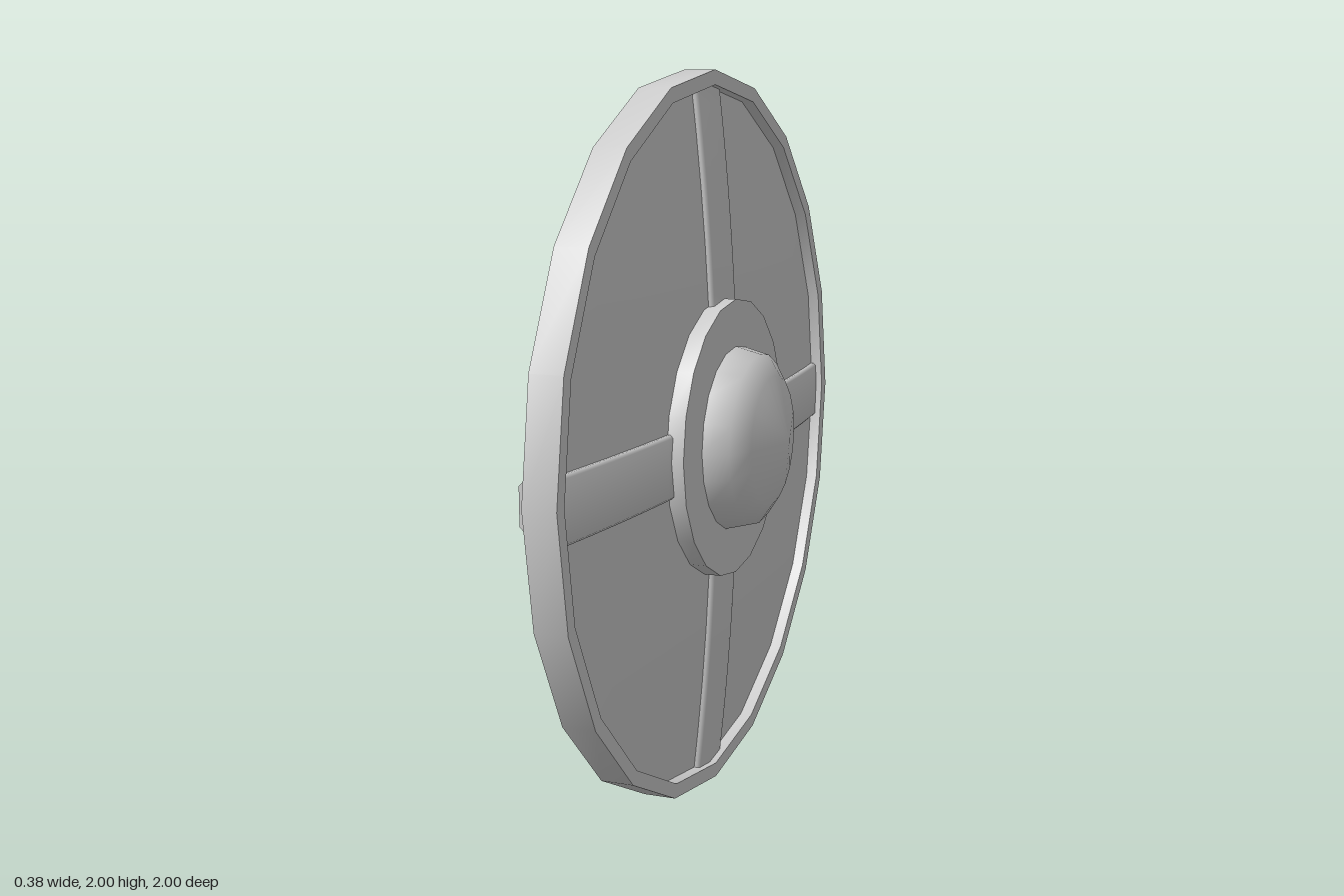
import * as THREE from 'three';
import { toCreasedNormals } from 'three/addons/utils/BufferGeometryUtils.js';

const SIDES = 20;
const material = new THREE.MeshStandardMaterial({ color: 0xcccccc });

// Shallow dish shared by the board and the straps
const dish = (r) => -0.06 * r * r;

function addMesh(parent, name, geometry) {
  const mesh = new THREE.Mesh(toCreasedNormals(geometry, 0.8), material);
  mesh.name = name;
  parent.add(mesh);
  return mesh;
}

// Closed profile of [radius, x] points turned about the x axis
function turned(profile) {
  const points = [...profile, profile[0]].map(([r, x]) => new THREE.Vector2(r, x));
  return new THREE.LatheGeometry(points, SIDES).rotateZ(-Math.PI / 2);
}

// Bar along z with a chamfered section (x0..x1 by width), bent in x by a rule
function bentBar(x0, x1, width, z0, z1, chamfer, bend) {
  const h = width / 2, c = chamfer;
  const shape = new THREE.Shape([
    [x0 + c, -h], [x1 - c, -h], [x1, -h + c], [x1, h - c],
    [x1 - c, h], [x0 + c, h], [x0, h - c], [x0, -h + c],
  ].map(([x, y]) => new THREE.Vector2(x, y)));
  const geometry = new THREE.ExtrudeGeometry(shape, { depth: z1 - z0, steps: 12, bevelEnabled: false });
  geometry.translate(0, 0, z0);
  const p = geometry.attributes.position;
  for (let i = 0; i < p.count; i++) p.setX(i, p.getX(i) + bend(p.getZ(i)));
  return geometry;
}

export function createModel() {
  const shield = new THREE.Group();
  shield.name = 'roundShield';
  const body = new THREE.Group();
  body.name = 'body';
  body.position.y = 1;
  shield.add(body);

  // Dished board with a round hole in the middle
  const radii = [0.25, 0.4, 0.55, 0.7, 0.85, 0.97];
  const back = radii.map((r) => [r, -0.06 + dish(r)]);
  const front = radii.map((r) => [r, -0.008 + dish(r)]).reverse();
  addMesh(body, 'board', turned([...back, ...front]));

  // Rim
  addMesh(body, 'rim', turned([[0.96, -0.116], [1, -0.12], [1, -0.03], [0.96, -0.03]]));

  // Hollow boss with its flange
  addMesh(body, 'boss', turned([
    [0.25, -0.02], [0.385, -0.02], [0.385, 0.03], [0.255, 0.03],
    [0.237, 0.1], [0.178, 0.14], [0, 0.187],
    [0, 0.177], [0.168, 0.13], [0.227, 0.09], [0.245, 0.03],
  ]));

  // Four straps forming a cross
  for (let k = 0; k < 4; k++) {
    const strap = addMesh(body, 'strap' + (k + 1),
      bentBar(-0.03, 0.006, 0.172, 0.35, 0.965, 0.008, dish));
    strap.rotation.x = k * Math.PI / 2;
    if (k % 2 === 0) strap.position.y = -0.015;
  }

  // Grip across the back, straight in the middle and sloping to the rim
  const slope = (z) => Math.max(0, Math.abs(z) - 0.3) * 0.073;
  addMesh(body, 'grip', bentBar(-0.19, -0.143, 0.125, -0.97, 0.97, 0.014, slope));

  return shield;
}
